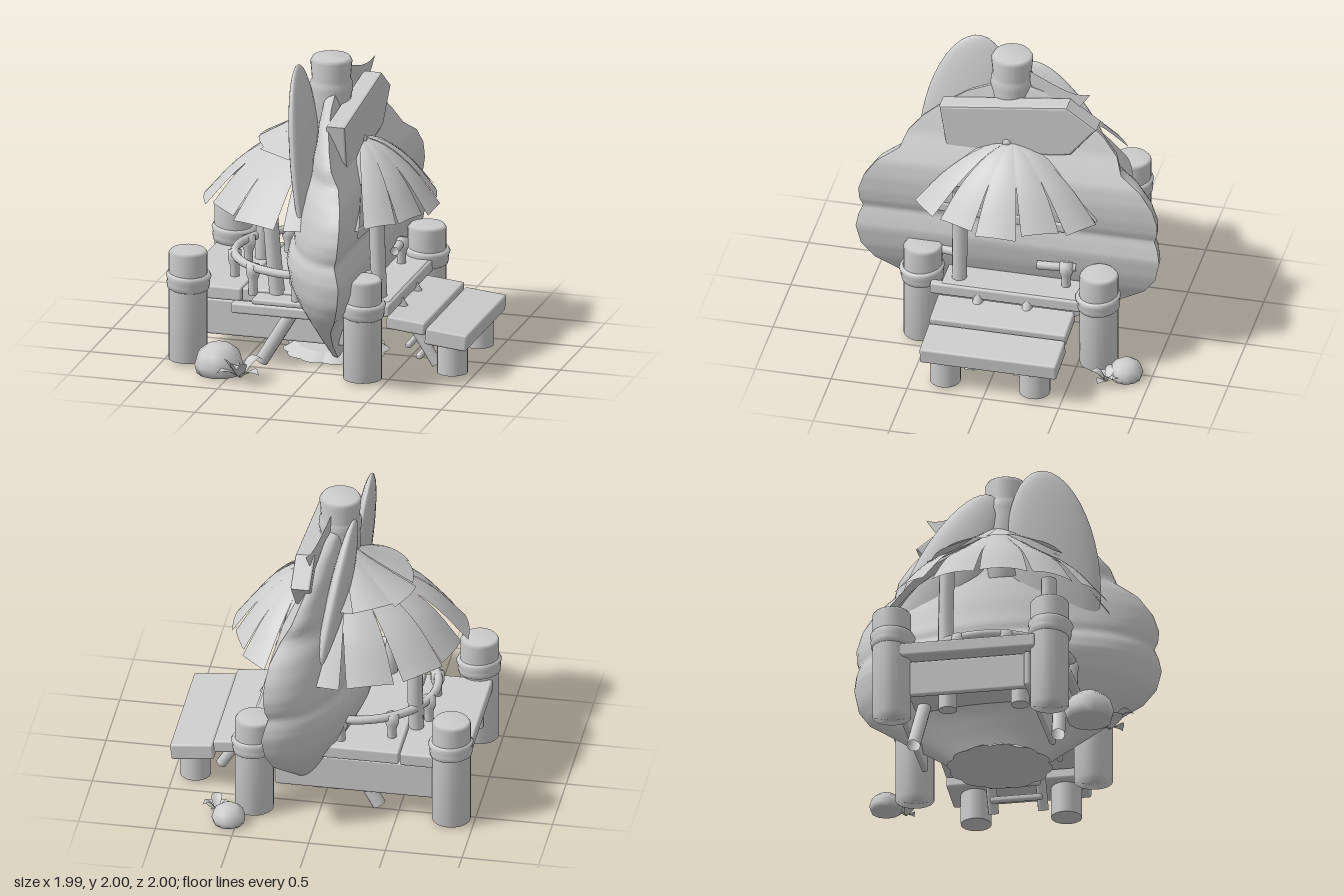
import * as THREE from 'three';
import { RoundedBoxGeometry } from 'three/addons/geometries/RoundedBoxGeometry.js';

export function createModel() {
  const root = new THREE.Group();
  const grey = new THREE.MeshStandardMaterial({ color: 0xcccccc, side: THREE.DoubleSide });
  grey.name = 'plain grey';
  const P = Math.PI;

  const add = (name, geo, x = 0, y = 0, z = 0, rx = 0, ry = 0, rz = 0) => {
    const m = new THREE.Mesh(geo, grey);
    m.name = name;
    m.position.set(x, y, z);
    m.rotation.set(rx, ry, rz);
    root.add(m);
    return m;
  };
  const box = (name, w, h, d, x, y, z, rx, ry, rz) =>
    add(name, new RoundedBoxGeometry(w, h, d, 2, 0.015), x, y, z, rx, ry, rz);
  const lathe = (pts, n = 24) => new THREE.LatheGeometry(pts.map(p => new THREE.Vector2(...p)), n);
  const tube = (name, pts, r, n = 24) => add(name, new THREE.TubeGeometry(
    new THREE.CatmullRomCurve3(pts.map(p => new THREE.Vector3(...p))), n, r, 10));

  // Grid surface from a rule f(u, v) -> [x, y, z]
  const sheet = (nu, nv, f) => {
    const pos = [], idx = [];
    for (let j = 0; j <= nv; j++) for (let i = 0; i <= nu; i++) pos.push(...f(i / nu, j / nv));
    for (let j = 0; j < nv; j++) for (let i = 0; i < nu; i++) {
      const a = j * (nu + 1) + i, b = a + nu + 1;
      idx.push(a, a + 1, b, a + 1, b + 1, b);
    }
    const g = new THREE.BufferGeometry();
    g.setAttribute('position', new THREE.Float32BufferAttribute(pos, 3));
    g.setIndex(idx);
    g.computeVertexNormals();
    return g;
  };

  // Big lobed shell: rows of [y, half width, rim x, deepest x]
  const rows = [
    [0.05, 0.3, 0.10, 0.0], [0.2, 0.52, 0.13, -0.04], [0.36, 0.74, 0.18, -0.1], [0.48, 0.89, 0.25, -0.17],
    [0.6, 0.97, 0.29, -0.23], [0.74, 1.0, 0.31, -0.26], [0.82, 0.985, 0.29, -0.24], [0.88, 0.96, 0.27, -0.2],
    [0.94, 0.98, 0.29, -0.2], [1.02, 0.985, 0.3, -0.18], [1.13, 0.95, 0.3, -0.16], [1.24, 0.87, 0.28, -0.13],
    [1.33, 0.73, 0.23, -0.1], [1.43, 0.69, 0.17, -0.08], [1.53, 0.6, 0.13, -0.06], [1.62, 0.48, 0.09, -0.06],
    [1.72, 0.32, 0.06, -0.05], [1.78, 0.16, 0.04, -0.04], [1.8, 0.01, 0.02, 0]];
  const row = v => {
    const t = v * (rows.length - 1), i = Math.min(Math.floor(t), rows.length - 2);
    return rows[i].map((a, k) => a + (rows[i + 1][k] - a) * (t - i));
  };
  add('shellBack', sheet(28, 54, (u, v) => {
    const [y, w, rim, deep] = row(v), a = P * u;
    return [rim + (deep - rim) * Math.sin(a), y, w * Math.cos(a)];
  }));
  add('shellFace', sheet(4, 54, (u, v) => {
    const [y, w, rim] = row(v);
    return [rim, y, w * (2 * u - 1)];
  }));
  // Scalloped foot under the shell
  const foot = new THREE.CylinderGeometry(0.24, 0.32, 0.05, 60, 1);
  const fp = foot.attributes.position;
  for (let i = 0; i < fp.count; i++) {
    const k = 1 + 0.07 * Math.abs(Math.sin(6 * Math.atan2(fp.getZ(i), fp.getX(i))));
    fp.setXYZ(i, fp.getX(i) * k, fp.getY(i), fp.getZ(i) * k);
  }
  foot.computeVertexNormals();
  add('shellFoot', foot, 0, 0.035, 0);

  // Thatch: flaring strips with slits that open towards the rim
  const thatch = (name, cx, a0, a1, n, rx, rz, slit, profile) => {
    const curve = new THREE.CatmullRomCurve3(profile.map(([r, y]) => new THREE.Vector3(r, y, 0)));
    const step = (a1 - a0) / n;
    for (let k = 0; k < n; k++) {
      const mid = a0 + (k + 0.5) * step;
      add(name, sheet(6, 10, (u, v) => {
        const p = curve.getPoint(v), s = 2 * u - 1;
        const half = step * 0.5 * (1.03 - slit * Math.max(0, v - 0.45) / 0.55);
        const a = mid + s * half, out = p.x * (1 + 0.05 * (k % 2) * v);
        return [cx + Math.cos(a) * out * rx, p.y - 0.012 * s * s * v + 0.012 * (k % 3) * v, Math.sin(a) * out * rz];
      }));
    }
  };
  thatch('mainRoofThatch', -0.05, P * 0.4, P * 1.6, 8, 0.77, 0.72, 0.16,
    [[0.14, 1.59], [0.45, 1.42], [0.75, 1.25], [1, 1.02]]);
  thatch('mainRoofCap', -0.04, P * 0.4, P * 1.6, 6, 0.46, 0.44, 0.03,
    [[0.15, 1.65], [0.5, 1.54], [1, 1.4]]);
  thatch('awningThatch', 0.16, -P * 0.53, P * 0.53, 7, 0.48, 0.62, 0.16,
    [[0.03, 1.46], [0.35, 1.39], [0.7, 1.23], [1, 1.02]]);
  add('awningKnob', new THREE.SphereGeometry(0.035, 14, 10), 0.18, 1.45, 0.03);

  // Chimney
  add('chimney', lathe([[0, 1.3], [0.13, 1.3], [0.13, 1.74], [0.14, 1.78], [0.135, 1.83], [0.125, 1.85],
    [0.135, 1.97], [0.12, 1.995], [0, 2]]), -0.02, 0, 0.045);

  // Two boards standing behind the shell
  const board = (name, w, h, x, y, z, rx, rz) => {
    const g = new THREE.SphereGeometry(1, 28, 20);
    g.scale(0.065, h, w);
    add(name, g, x, y, z, rx, 0, rz);
  };
  board('frontBoard', 0.29, 0.65, -0.09, 1.36, 0.37, -0.14, 0.13);
  board('backBoard', 0.22, 0.58, -0.06, 1.38, -0.33, 0.55, 0.12);

  // Arrow sign, pointing backwards
  const arrow = new THREE.Shape([[0.46, 1.65], [-0.36, 1.76], [-0.54, 1.63], [-0.38, 1.43], [-0.26, 1.41], [0.41, 1.34]]
    .map(p => new THREE.Vector2(-p[0], p[1])));
  add('arrowSign', new THREE.ExtrudeGeometry(arrow, {
    depth: 0.1, bevelSize: 0.015, bevelThickness: 0.015, bevelSegments: 2 }), 0.085, 0, 0, 0, P / 2, 0);
  // Pointed leaf beside the chimney
  add('chimneyLeaf', sheet(4, 10, (u, v) => [
    0.02 + 0.09 * v, 1.86 - 0.17 * Math.sin(v * 2.2) + 0.12 * v * v + (u - 0.5) * 0.2 * Math.sin(P * (0.15 + 0.85 * v)),
    -0.08 - 0.42 * v]));

  // Deck slabs, skirts and beams
  box('deckSlab', 0.43, 0.09, 1.0, -0.735, 0.445, -0.1);
  box('deckSlab', 0.99, 0.09, 1.0, -0.02, 0.45, -0.1);
  for (const z of [0.34, -0.54]) box('deckSkirt', 1.2, 0.24, 0.04, -0.3, 0.27, z);
  box('leftSkirt', 0.04, 0.24, 0.9, -0.85, 0.27, -0.1);
  box('frontBeam', 0.64, 0.07, 0.08, -0.24, 0.385, 0.46);
  box('frontPlank', 0.42, 0.04, 0.16, -0.2, 0.455, 0.46);
  box('rightBeam', 0.06, 0.08, 1.0, 0.46, 0.45, -0.03);

  // Mooring posts with rope collars
  for (const [x, z, h] of [[-0.85, 0.48, 0.75], [-0.85, -0.55, 0.75], [0.34, 0.55, 0.69], [0.42, -0.63, 0.69]]) {
    add('mooringPost', lathe([[0, 0.015], [0.125, 0.015], [0.125, h - 0.02], [0.11, h], [0, h]]), x, 0, z);
    add('ropeCollar', lathe([[0.12, 0.0], [0.135, 0.01], [0.14, 0.04], [0.137, 0.06], [0.147, 0.09], [0.135, 0.11],
      [0.12, 0.11]]), x, h - 0.26, z, 0.06, 0, -0.06);
  }

  // Roof posts and the lintel under the awning
  tube('roofPost', [[-0.57, 0.45, -0.25], [-0.56, 0.8, -0.25], [-0.57, 1.15, -0.24]], 0.05);
  tube('roofPost', [[-0.28, 0.45, 0.38], [-0.31, 0.75, 0.38], [-0.34, 1.15, 0.38]], 0.05);
  tube('roofPost', [[0.38, 0.45, 0.3], [0.365, 0.8, 0.3], [0.36, 1.15, 0.3]], 0.05);
  box('lintel', 0.05, 0.07, 0.88, 0.28, 0.94, 0.06, -0.06);

  // Curved rail on short stubs, with two short rails beside the steps
  const stub = (x, z) => add('railStub', lathe([[0.03, 0.46], [0.03, 0.56], [0.045, 0.6], [0.045, 0.66], [0, 0.67]], 12),
    x, 0, z);
  const railAt = a => [-0.12 + 0.54 * Math.cos(a), 0.645, 0.5 * Math.sin(a)];
  tube('rail', Array.from({ length: 13 }, (_, i) => railAt(P * (0.46 + 1.08 * i / 12))), 0.028, 48);
  for (let i = 0; i < 6; i++) {
    const [x, , z] = railAt(P * (0.5 + i / 5));
    stub(x, z);
  }
  tube('shortRail', [[0.33, 0.63, -0.2], [0.32, 0.63, -0.33], [0.3, 0.63, -0.45]], 0.028, 8);
  tube('shortRail', [[0.32, 0.64, 0.32], [0.3, 0.64, 0.46]], 0.028, 4);
  stub(0.32, -0.39);

  // Steps on the right side
  box('upperStep', 0.26, 0.085, 0.9, 0.585, 0.345, -0.03, 0, 0, -0.1);
  box('lowerStep', 0.28, 0.11, 0.9, 0.855, 0.275, -0.03, 0, 0, -0.1);
  for (const z of [0.28, -0.31]) {
    add('stepPost', new THREE.CylinderGeometry(0.1, 0.1, 0.22, 20), 0.86, 0.13, z);
    tube('stepBrace', [[0.46, 0.43, z * 0.55], [0.72, 0.02, z * 0.55]], 0.035, 4);
    tube('deckBrace', [[-0.15, 0.4, z * 1.5], [-0.37, 0.03, z * 1.6]], 0.045, 4);
    add('deckPeg', new THREE.CylinderGeometry(0.06, 0.06, 0.2, 14), -0.5, 0.3, z * 0.8);
  }
  for (const y of [0.06, 0.13]) box('stepCrossbar', 0.04, 0.04, 0.34, 0.66 - y, y, 0);

  // Rocks and leafy plants
  const rock = (x, z, r, h) => add('rock', lathe([[0, 0.01], [r * 0.9, 0.01], [r, h * 0.35], [r * 0.85, h * 0.75],
    [r * 0.45, h], [0, h]], 11), x, 0, z);
  rock(-0.58, 0.69, 0.16, 0.2);
  rock(0.55, -0.84, 0.11, 0.13);
  const plant = (cx, cz, s) => {
    for (let k = 0; k < 6; k++) {
      const a = k * P / 3 + 0.4, rise = k % 2 ? 0.15 : 0.07;
      add('plantLeaf', sheet(4, 8, (u, v) => {
        const r = s * v, w = (u - 0.5) * s * 0.7 * Math.sin(P * Math.min(1, v + 0.05));
        return [cx + r * Math.cos(a) - w * Math.sin(a), 0.02 + rise * Math.sin(v * 2.1) * s / 0.2 + Math.abs(w) * 0.3,
          cz + r * Math.sin(a) + w * Math.cos(a)];
      }));
    }
  };
  plant(-0.41, 0.79, 0.16);
  plant(0.65, -0.73, 0.1);

  return root;
}
